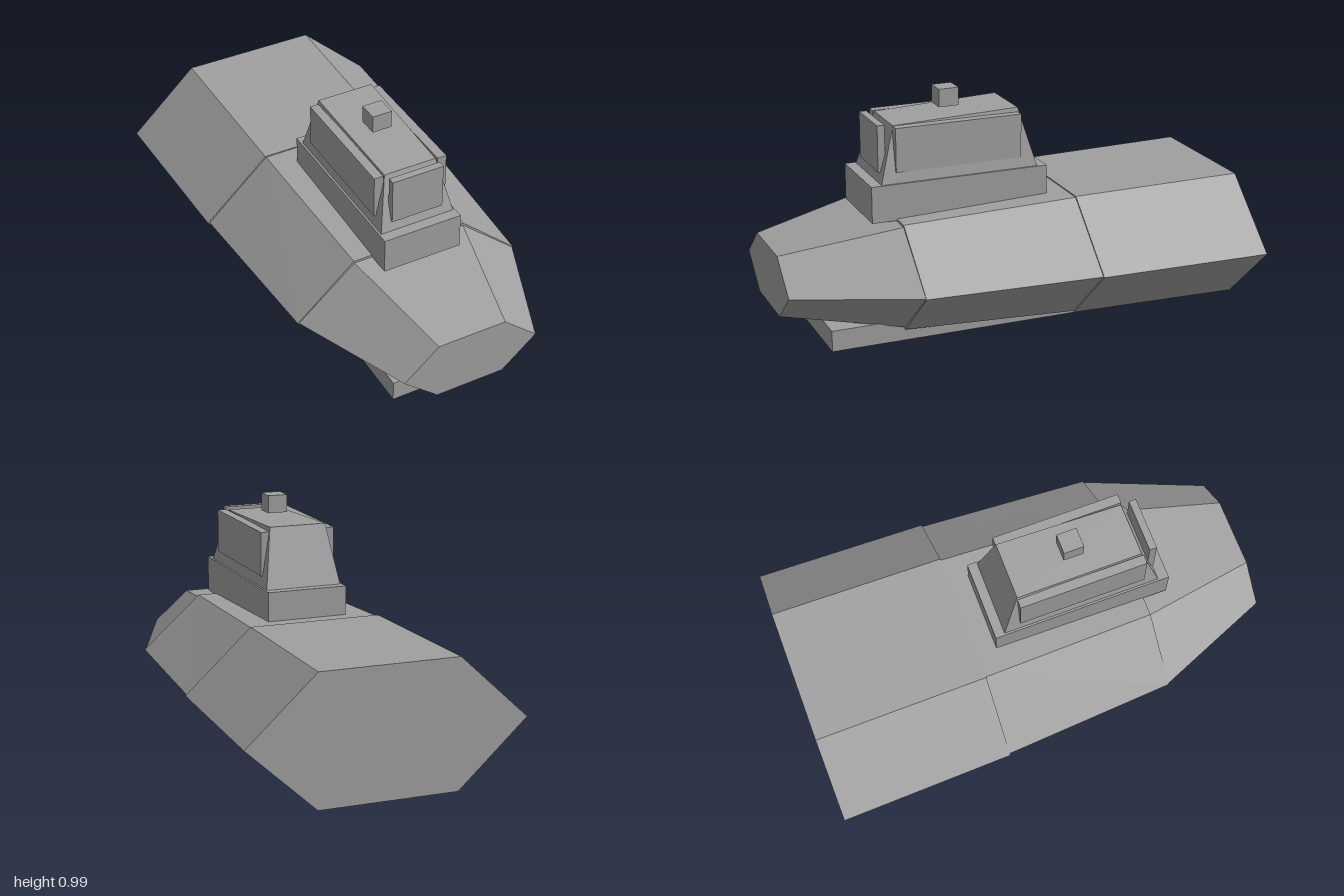
import * as THREE from 'three';

export function createModel() {
  const model = new THREE.Group();
  model.name = 'vessel';
  const hullGrey = new THREE.MeshStandardMaterial({ color: 0xa0a0a0 });
  hullGrey.name = 'hullGrey';

  const add = (name, geometry) => {
    const mesh = new THREE.Mesh(geometry, hullGrey);
    mesh.name = name;
    model.add(mesh);
    return mesh;
  };

  // Box given by its minimum and maximum corners
  const box = (name, [x0, y0, z0], [x1, y1, z1]) => {
    const mesh = add(name, new THREE.BoxGeometry(x1 - x0, y1 - y0, z1 - z0));
    mesh.position.set((x0 + x1) / 2, (y0 + y1) / 2, (z0 + z1) / 2);
  };

  // Closed flat-sided solid between two matching rings of corners
  const loft = (a, b) => {
    const points = [];
    const n = a.length;
    for (let i = 0; i < n; i++) {
      const j = (i + 1) % n;
      points.push(a[i], a[j], b[j], a[i], b[j], b[i]);
      if (i > 0 && i < n - 1) points.push(b[0], b[i], b[j], a[0], a[j], a[i]);
    }
    const geometry = new THREE.BufferGeometry();
    geometry.setAttribute('position', new THREE.Float32BufferAttribute(points.flat(), 3));
    geometry.computeVertexNormals();
    return geometry;
  };

  // Flattened hexagon across the hull at z
  const hexagon = (radius, halfHeight, z) => [
    [1, 0], [0.5, 1], [-0.5, 1], [-1, 0], [-0.5, -1], [0.5, -1],
  ].map(([x, y]) => [x * radius, 0.28 + y * halfHeight, z]);

  // Hull sections, each slightly smaller than the one behind it
  add('sternHull', loft(hexagon(0.585, 0.27, -1), hexagon(0.565, 0.26, -0.25)));
  add('middleHull', loft(hexagon(0.557, 0.255, -0.25), hexagon(0.51, 0.227, 0.5)));
  add('bowHull', loft(hexagon(0.505, 0.217, 0.5), hexagon(0.3, 0.13, 1)));

  // Keel slab under the hull
  box('keel', [-0.24, 0, -0.81], [0.24, 0.09, 0.81]);

  // Tower: plinth, tapered cabin with a roof sloping to the front
  box('towerBase', [-0.173, 0.5, -0.165], [0.173, 0.655, 0.605]);
  const rectangle = (front, back) => [
    [front.x, front.y, front.z], [back.x, back.y, back.z],
    [-back.x, back.y, back.z], [-front.x, front.y, front.z],
  ];
  add('cabin', loft(
    rectangle({ x: 0.165, y: 0.652, z: 0.56 }, { x: 0.165, y: 0.652, z: -0.125 }),
    rectangle({ x: 0.115, y: 0.885, z: 0.49 }, { x: 0.123, y: 0.905, z: -0.053 }),
  ));

  // Window panels standing off the cabin
  box('frontWindow', [-0.114, 0.695, 0.525], [0.114, 0.891, 0.556]);
  for (const side of [-1, 1]) {
    box(side > 0 ? 'leftWindow' : 'rightWindow',
      [side * 0.1425 - 0.02, 0.7, -0.053], [side * 0.1425 + 0.02, 0.886, 0.495]);
  }

  // Sensor block above the roof
  box('sensor', [-0.043, 0.918, 0.177], [0.043, 0.994, 0.263]);

  return model;
}
